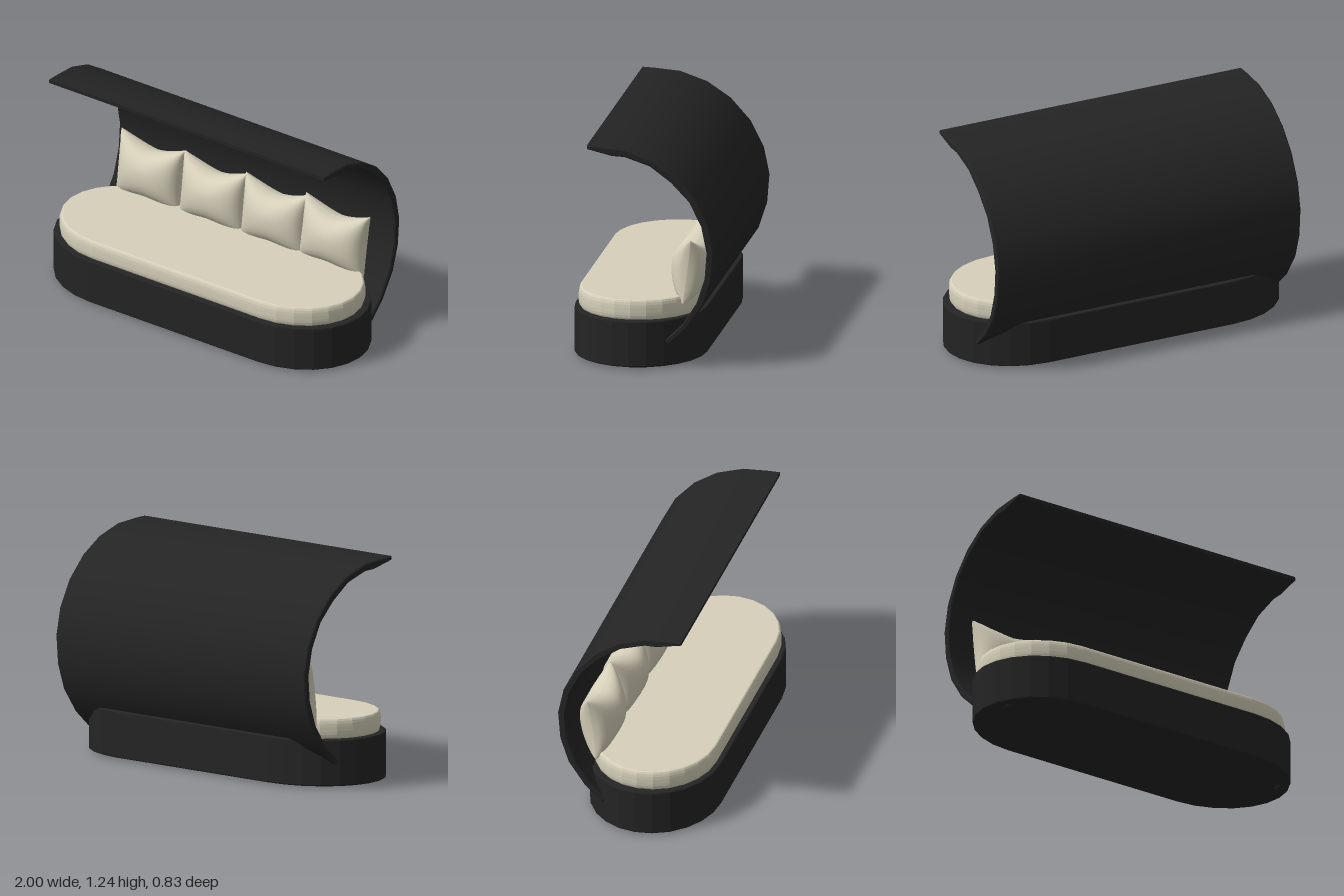
import * as THREE from 'three';
import { mergeGeometries, toCreasedNormals } from 'three/addons/utils/BufferGeometryUtils.js';

// Long oval: straight front and back, half-elliptical ends
function ovalShape(halfX, halfZ, straight) {
  const pts = [];
  const steps = 12;
  for (const side of [1, -1]) {
    for (let i = 0; i <= steps; i++) {
      const a = -Math.PI / 2 + (Math.PI * i) / steps;
      pts.push(new THREE.Vector2(
        side * (straight + (halfX - straight) * Math.cos(a)),
        side * halfZ * Math.sin(a)));
    }
  }
  return new THREE.Shape(pts);
}

// Upright oval slab from y0 to y1 with softened rims
function ovalSlab(shape, y0, y1, rimHeight, rimSize, segments) {
  const geo = new THREE.ExtrudeGeometry(shape, {
    depth: y1 - y0 - 2 * rimHeight, bevelThickness: rimHeight,
    bevelSize: rimSize, bevelOffset: -rimSize, bevelSegments: segments,
  });
  return geo.rotateX(-Math.PI / 2).translate(0, y0 + rimHeight, 0.045);
}

// Square cushion with pulled-out corners, made of two bulging faces
function cushionGeometry() {
  const halfW = 0.218, halfH = 0.185, bulge = 0.115, n = 16;
  const faces = [1, -1].map((side) => {
    const geo = new THREE.PlaneGeometry(2, 2, n, n);
    const pos = geo.attributes.position;
    for (let i = 0; i < pos.count; i++) {
      const a = pos.getX(i) * Math.PI / 2, b = pos.getY(i) * Math.PI / 2;
      const u = Math.sin(a), v = Math.sin(b);
      const pinchY = v > 0 ? 0.07 : 0.03;
      const x = u * (halfW - 0.018 * (1 - v * v));
      const y = v * (halfH - pinchY * (1 - Math.abs(u) ** 1.5));
      const z = bulge * Math.max(0, Math.cos(a) * Math.cos(b)) ** 0.85;
      pos.setXYZ(i, side * x, y, side * z);
    }
    geo.computeVertexNormals();
    return geo;
  });
  return mergeGeometries(faces);
}

export function createModel() {
  const model = new THREE.Group();
  model.name = 'canopyDaybed';
  const dark = new THREE.MeshStandardMaterial({ color: 0x242424 });
  dark.name = 'charcoal';
  const cream = new THREE.MeshStandardMaterial({ color: 0xd6d0ba });
  cream.name = 'cream fabric';

  const add = (name, geo, mat) => {
    const mesh = new THREE.Mesh(geo, mat);
    mesh.name = name;
    model.add(mesh);
    return mesh;
  };

  // Base and mattress
  add('base', ovalSlab(ovalShape(1, 0.367, 0.57), 0.01, 0.27, 0.008, 0.008, 2), dark);
  add('mattress', ovalSlab(ovalShape(0.965, 0.345, 0.57), 0.265, 0.38, 0.045, 0.016, 4), cream);

  // Small feet under both ends
  for (const side of [1, -1]) {
    const foot = add('foot', new THREE.CylinderGeometry(0.02, 0.014, 0.012, 8), dark);
    foot.position.set(side * 0.91, 0.006, 0.16);
    foot.scale.z = 2;
  }

  // Curved canopy: outer and inner profile as (z, y)
  const outer = [[0.29, 1.237], [0.23, 1.235], [0.08, 1.222], [-0.07, 1.17], [-0.2, 1.083], [-0.31, 0.96],
    [-0.385, 0.812], [-0.416, 0.66], [-0.403, 0.5], [-0.355, 0.355], [-0.26, 0.218], [-0.16, 0.128]];
  const inner = [[-0.14, 0.152], [-0.235, 0.238], [-0.32, 0.37], [-0.365, 0.51], [-0.376, 0.655],
    [-0.347, 0.8], [-0.28, 0.938], [-0.177, 1.046], [-0.06, 1.133], [0.08, 1.18], [0.15, 1.183], [0.29, 1.217]];
  const profile = new THREE.Shape([...outer, ...inner].map(([z, y]) => new THREE.Vector2(z, y)));
  const width = 1.87, bevel = 0.006;
  const canopy = new THREE.ExtrudeGeometry(profile, {
    depth: width - 2 * bevel, bevelThickness: bevel, bevelSize: bevel,
    bevelOffset: -bevel, bevelSegments: 1,
  });
  canopy.translate(0, 0, -width / 2 + bevel).rotateY(-Math.PI / 2);
  add('canopy', toCreasedNormals(canopy, 0.5), dark);

  // Row of back cushions, leaning on the canopy
  const cushion = cushionGeometry();
  [[-0.628, 0], [-0.2, 0], [0.215, 0], [0.615, -0.03]].forEach(([x, roll]) => {
    const mesh = add('cushion', cushion, cream);
    mesh.position.set(x, 0.523, -0.25);
    mesh.rotation.set(-0.13, 0, roll);
  });

  return model;
}
